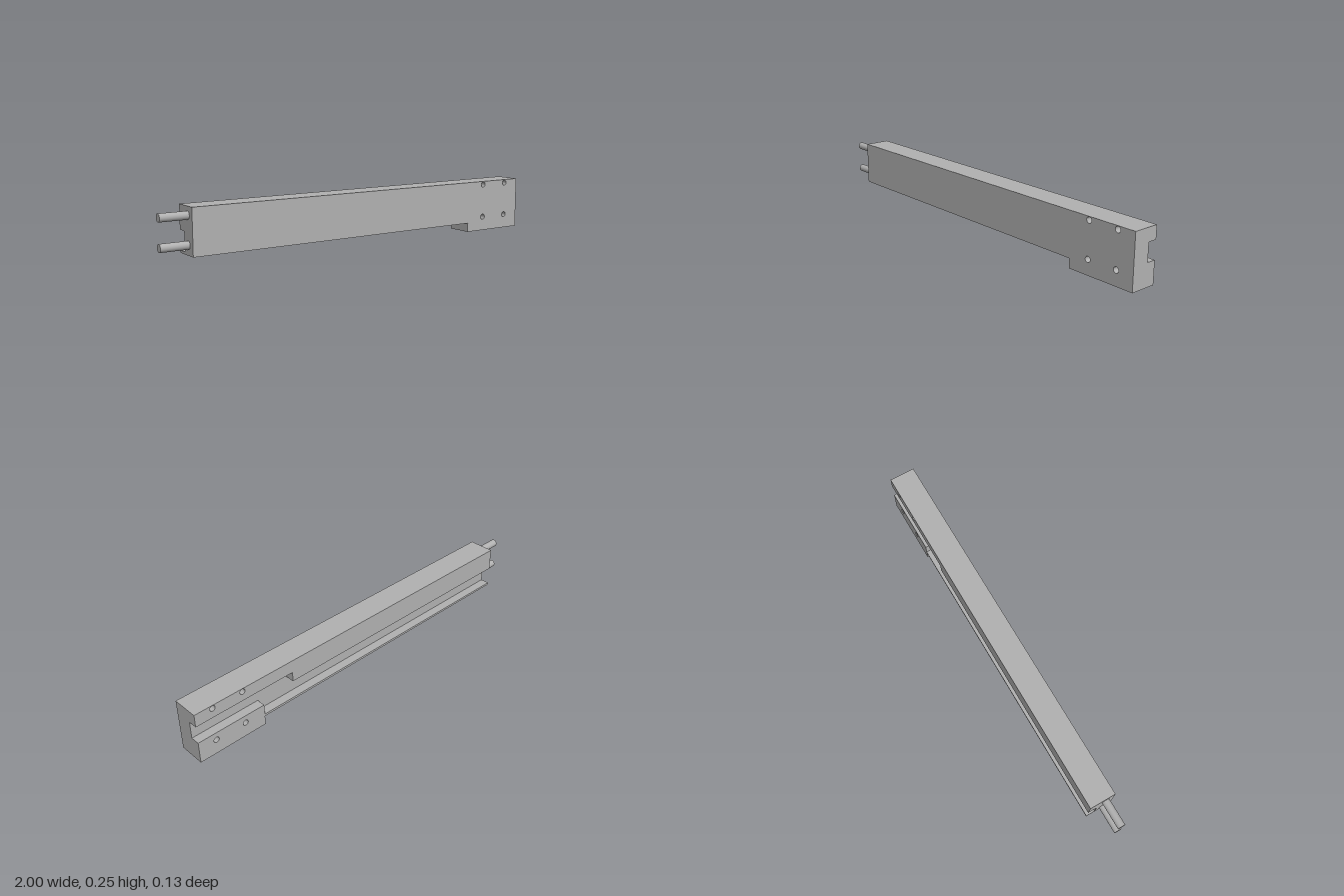
import * as THREE from 'three';

export function createModel() {
  const model = new THREE.Group();
  const grey = new THREE.MeshStandardMaterial({ color: 0xb0b0b0 });
  grey.name = 'plain grey';

  const BACK = -0.0635, GROOVE = -0.02, FRONT = 0.0635;
  const END = -0.87, TOP = 0.255, UNDER = 0.045;
  const HOLES_X = [0.76, 0.912], LOW = 0.07, HIGH = 0.239;

  // Plate cut from an outline in x and y, with round holes in the given rows
  function plate(name, points, holeRows, z0, z1) {
    const shape = new THREE.Shape(points.map(([x, y]) => new THREE.Vector2(x, y)));
    for (const y of holeRows) for (const x of HOLES_X) {
      shape.holes.push(new THREE.Path().absarc(x, y, 0.0135, 0, Math.PI * 2, true));
    }
    const geometry = new THREE.ExtrudeGeometry(shape, {
      depth: z1 - z0, bevelEnabled: false, curveSegments: 24,
    });
    geometry.translate(0, 0, z0);
    const mesh = new THREE.Mesh(geometry, grey);
    mesh.name = name;
    model.add(mesh);
  }

  // Full-length front slab with the deeper foot at the left end
  plate('frontSlab', [
    [END, UNDER], [0.657, UNDER], [0.657, 0], [1, 0], [1, TOP], [END, TOP],
  ], [LOW, HIGH], GROOVE, FRONT);

  // Back rail above the groove, stepped up where the groove widens
  plate('upperRail', [
    [END, 0.145], [0.492, 0.145], [0.492, 0.193], [1, 0.193], [1, TOP], [END, TOP],
  ], [HIGH], BACK, GROOVE);

  // Foot block below the groove
  plate('footBlock', [[0.657, 0], [1, 0], [1, 0.107], [0.657, 0.107]], [LOW], BACK, GROOVE);

  // Thin lip along the bottom edge of the groove
  plate('bottomLip', [
    [END, UNDER], [0.657, UNDER], [0.657, 0.056], [END, 0.056],
  ], [], BACK, GROOVE);

  // Two round pins projecting from the end
  for (const [name, y] of [['upperPin', 0.216], ['lowerPin', 0.09]]) {
    const pin = new THREE.Mesh(new THREE.CylinderGeometry(0.0185, 0.0185, 0.14, 32), grey);
    pin.rotation.z = Math.PI / 2;
    pin.position.set(-0.93, y, 0.018);
    pin.name = name;
    model.add(pin);
  }

  return model;
}
